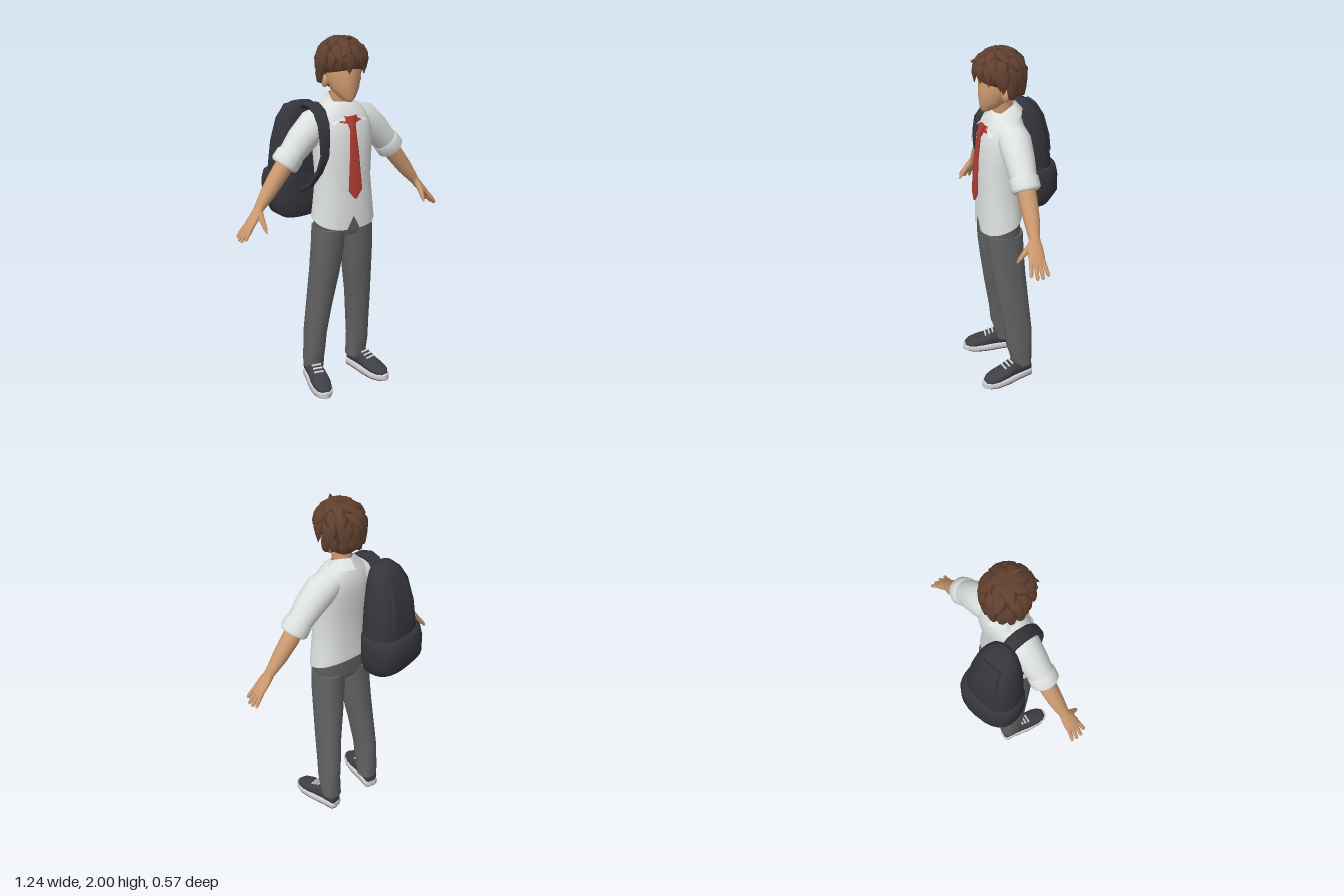
import * as THREE from 'three';

const V = (x, y, z) => new THREE.Vector3(x, y, z);
const X = V(1, 0, 0), Y = V(0, 1, 0), Z = V(0, 0, 1);
const mat = (name, color, extra = {}) => Object.assign(new THREE.MeshStandardMaterial({ color, ...extra }), { name });

// Grid of points to a smooth surface, optionally closed around and capped
function surface(rows, closed, caps) {
  const n = rows[0].length, pos = [], idx = [];
  rows.forEach(r => r.forEach(p => pos.push(p.x, p.y, p.z)));
  for (let j = 0; j < rows.length - 1; j++) {
    for (let i = 0; i < (closed ? n : n - 1); i++) {
      const a = j * n + i, b = j * n + (i + 1) % n;
      idx.push(a, b, a + n, b, b + n, a + n);
    }
  }
  if (caps) [rows[0], rows[rows.length - 1]].forEach((r, end) => {
    const base = pos.length / 3, c = V(0, 0, 0);
    r.forEach(p => { pos.push(p.x, p.y, p.z); c.addScaledVector(p, 1 / n); });
    pos.push(c.x, c.y, c.z);
    for (let i = 0; i < n; i++) {
      const a = base + i, b = base + (i + 1) % n;
      if (end) idx.push(base + n, a, b); else idx.push(base + n, b, a);
    }
  });
  const g = new THREE.BufferGeometry();
  g.setAttribute('position', new THREE.Float32BufferAttribute(pos, 3));
  g.setIndex(idx);
  g.computeVertexNormals();
  return g;
}

// Rows are [x, y, z, radius along ref, radius across]; t fixes the ring direction
function loft(rows, { ref = Z, t = null, n = 14, pow = 2, caps = true, shape = null } = {}) {
  const c = rows.map(r => V(r[0], r[1], r[2]));
  const e = v => Math.sign(v) * Math.abs(v) ** (2 / pow);
  return surface(rows.map((r, j) => {
    const d = t ? t.clone() : c[Math.min(j + 1, c.length - 1)].clone().sub(c[Math.max(j - 1, 0)]);
    d.normalize();
    const u = ref.clone().addScaledVector(d, -ref.dot(d)).normalize(), v = d.clone().cross(u);
    return Array.from({ length: n }, (_, i) => {
      const a = i / n * Math.PI * 2;
      const p = c[j].clone().addScaledVector(u, r[3] * e(Math.cos(a))).addScaledVector(v, r[4] * e(Math.sin(a)));
      if (shape) shape(p, j, i, a);
      return p;
    });
  }), true, caps);
}

export function createModel() {
  const root = new THREE.Group();
  const both = { side: THREE.DoubleSide };
  const skin = mat('skin', 0xcd9a70), hairMat = mat('brown hair', 0x61402f);
  const shirt = mat('white shirt', 0xdde1df, both), red = mat('red tie', 0xb23c32, both);
  const grey = mat('grey trousers', 0x626262), dark = mat('dark bag', 0x35353c);
  const shoeMat = mat('dark shoe', 0x3f3f46), white = mat('white sole', 0xcfcfcf);
  const add = (name, g, m, parent = root) => {
    const mesh = new THREE.Mesh(g, m);
    mesh.name = name;
    parent.add(mesh);
    return mesh;
  };
  const up = { t: Y };

  // Shirt body with a curved hem and a small notch in front
  add('shirtBody', loft([
    [0, 1.0, .108, .118, .182], [0, 1.1, .107, .118, .172], [0, 1.25, .107, .11, .157],
    [0, 1.4, .1, .12, .165], [0, 1.5, .088, .118, .172], [0, 1.56, .08, .11, .166],
    [0, 1.61, .075, .095, .138], [0, 1.645, .07, .075, .095], [0, 1.66, .07, .06, .06]],
  { ...up, n: 36, pow: 2.3, caps: false, shape: (p, j, i, a) => {
    if (j === 0) p.y = i === 0 ? 1.05 : 1.02 - .045 * Math.cos(a);
  } }), shirt);

  // Collar: stand around the neck and two folded flaps
  const tilt = V(0, .86, .5);
  add('collarStand', loft([[0, 1.6, .065, .09, .08], [0, 1.655, .08, .08, .062]], { t: tilt, n: 20, caps: false }), shirt);
  for (const s of [1, -1]) {
    const inner = [V(0, 1.7, .005), V(s * .045, 1.7, .03), V(s * .06, 1.67, .09), V(s * .016, 1.595, .178)];
    const outer = [V(0, 1.65, -.035), V(s * .09, 1.645, .005), V(s * .12, 1.615, .1), V(s * .1, 1.553, .188)];
    add('collarFlap', surface(s > 0 ? [outer, inner] : [inner, outer], false), shirt);
    const bandTop = [V(0, 1.585, .192), V(s * .055, 1.6, .165)], bandLow = [V(0, 1.55, .2), V(s * .066, 1.565, .183)];
    add('tieBand', surface(s > 0 ? [bandLow, bandTop] : [bandTop, bandLow], false), red);
  }

  // Tie
  add('tieKnot', loft([[0, 1.592, .186, .03, .014], [0, 1.54, .206, .019, .014]], { ref: X, n: 8, pow: 3 }), red);
  add('tieBlade', loft([[0, 1.55, .207, .018, .008], [0, 1.4, .228, .028, .008],
    [0, 1.2, .24, .042, .008], [0, 1.155, .243, .006, .006]], { ref: X, n: 8, pow: 3 }), red);

  // Neck, head and ears
  add('neck', loft([[0, 1.57, .06, .055, .052], [0, 1.75, .088, .058, .052]], up), skin);
  add('head', loft([[0, 1.668, .168, .022, .016], [0, 1.69, .147, .053, .045], [0, 1.73, .122, .083, .076],
    [0, 1.78, .11, .096, .091], [0, 1.84, .102, .1, .098], [0, 1.9, .1, .085, .09], [0, 1.95, .1, .05, .05]],
  { ...up, n: 20, pow: 1.85 }), skin);

  // Hair: two rounded masses covered with swept tufts
  const hair = new THREE.Group();
  hair.name = 'hair';
  root.add(hair);
  for (const [y, z, a, b, c] of [[1.877, .085, .12, .104, .125], [1.81, .052, .102, .095, .088]]) {
    add('hairMass', new THREE.SphereGeometry(1, 24, 16).scale(a, b, c).translate(0, y, z), hairMat, hair);
  }
  const rad = Math.PI / 180;
  const tuft = (az, e0, e1, w, swirl = 12, flare = 1.15) => {
    const rows = [0, .35, .7, 1].map((f, k) => {
      const e = (e0 + (e1 - e0) * f) * rad, a = (az + swirl * f) * rad;
      const h = Math.cos(e < 0 ? e * .6 : e), q = [.95, 1.04, 1.08, flare][k];
      return [q * .118 * h * Math.sin(a), 1.88 + q * (e < 0 ? .16 : .1) * Math.sin(e), .09 + q * .122 * h * Math.cos(a),
        w * [.75, 1, .72, .04][k], [.016, .02, .014, .002][k]];
    });
    add('hairTuft', loft(rows, { ref: V(Math.cos(az * rad), 0, -Math.sin(az * rad)), n: 6 }), hairMat, hair);
  };
  for (let i = 0; i < 7; i++) tuft(i * 51 + 20, 82, 28 + (i % 2) * 10, .04, 22, 1.17);
  for (let i = 0; i < 11; i++) tuft(i * 33 + 12, 50, 4 - (i % 3) * 6, .038, i % 2 ? 16 : -4, 1.18);
  for (let i = 0; i < 11; i++) tuft(85 + i * 19, 20, -30 - (i % 2) * 8, .031, i % 2 ? 8 : -6, 1.12);
  for (let i = 0; i < 8; i++) tuft(100 + i * 23, -10, -58 + (i % 2) * 8, .028, 4, .98);
  for (const [a, e] of [[-78, -24], [-52, -17], [-30, -13], [-8, -20], [16, -14], [40, -16], [66, -24]]) tuft(a, 35, e, .034, a < 0 ? -5 : 7, 1.1);
  tuft(-12, 40, 16, .036, -18, 1.3);
  add('topTuft', loft([[.02, 1.95, .1, .035, .02], [.015, 1.98, .14, .022, .014], [0, 2, .17, .002, .002]], { ref: X, n: 6 }), hairMat, hair);

  for (const s of [1, -1]) {
    add('ear', new THREE.SphereGeometry(1, 12, 8).scale(.017, .034, .024).translate(s * .1, 1.772, .09), skin);

    // Sleeve with rolled cuff
    add('sleeve', loft([[s * .08, 1.572, .065, .08, .07], [s * .15, 1.54, .065, .088, .088],
      [s * .23, 1.468, .067, .08, .08], [s * .305, 1.385, .07, .068, .066]], { n: 18 }), shirt);
    add('rolledCuff', loft([[s * .29, 1.405, .07, .066, .066], [s * .297, 1.396, .07, .077, .076],
      [s * .332, 1.352, .07, .078, .077], [s * .34, 1.342, .07, .066, .066]], { n: 18 }), shirt);

    // Forearm, palm, fingers and thumb
    add('forearm', loft([[s * .3, 1.39, .07, .05, .05], [s * .36, 1.31, .07, .049, .049], [s * .43, 1.22, .075, .042, .042],
      [s * .495, 1.137, .083, .028, .026]]), skin);
    add('palm', loft([[s * .485, 1.15, .082, .028, .025], [s * .515, 1.11, .088, .04, .022],
      [s * .55, 1.068, .093, .045, .018], [s * .572, 1.04, .095, .038, .012]]), skin);
    for (let i = 0; i < 4; i++) {
      const k = i - 1.5, r = .0115, len = [.9, 1, 1, .8][i];
      add('finger', loft([[s * .553, 1.064, .094 + k * .021, r, r],
        [s * (.553 + .04 * len), 1.064 - .048 * len, .096 + k * .026, r, r],
        [s * (.553 + .06 * len), 1.064 - .078 * len, .097 + k * .03, .009, .008],
        [s * (.553 + .064 * len), 1.064 - .085 * len, .097 + k * .031, .003, .003]], { n: 8 }), skin);
    }
    add('thumb', loft([[s * .5, 1.13, .1, .018, .018], [s * .503, 1.09, .135, .016, .016],
      [s * .5, 1.055, .162, .012, .012], [s * .498, 1.03, .18, .004, .004]], { ref: X, n: 8 }), skin);

    // Trouser leg
    add('trouserLeg', loft([[s * .143, .085, .022, .058, .057], [s * .145, .17, .03, .067, .057], [s * .144, .22, .037, .076, .054],
      [s * .14, .32, .041, .081, .056], [s * .126, .5, .063, .088, .062], [s * .105, .7, .085, .095, .075],
      [s * .093, .85, .098, .099, .083], [s * .085, .97, .1, .1, .086]], { ...up, n: 16, pow: 2.4 }), grey);

    // Shoe, turned slightly outward
    const shoe = new THREE.Group();
    shoe.name = 'shoe';
    shoe.position.x = s * .147;
    shoe.rotation.y = s * .19;
    root.add(shoe);
    const outline = [[-.036, .022], [-.025, .042], [.05, .047], [.15, .058], [.22, .056], [.262, .04], [.28, .022], [.286, .006]];
    const layer = (y, h, k) => loft(outline.map(([z, w]) => [0, y, z * k, w * k, h]), { ref: X, t: Z, pow: 6, n: 16 });
    add('sole', layer(.022, .018, 1), white, shoe);
    add('outsole', layer(.004, .004, .96), shoeMat, shoe);
    const tops = [[-.031, .085, .026], [-.02, .11, .04], [.06, .128, .045], [.1, .122, .048], [.15, .098, .054],
      [.2, .083, .054], [.245, .07, .043], [.27, .052, .022]];
    add('shoeUpper', loft(tops.map(([z, y, w]) => [0, (y + .025) / 2, z, w, (y - .025) / 2]), { ref: X, t: Z, pow: 2.3, n: 16 }), shoeMat, shoe);
    for (const [z, y] of [[.1, .123], [.122, .113], [.145, .102]]) {
      const lace = add('lace', new THREE.BoxGeometry(.055, .008, .01), white, shoe);
      lace.position.set(0, y, z);
      lace.rotation.x = .42;
    }
  }
  add('trouserSeat', loft([[0, .93, .1, .09, .13], [0, .965, .1, .1, .168], [0, 1.09, .1, .1, .16]], { ...up, n: 24, pow: 2.4 }), grey);

  // Backpack on the right shoulder
  const bag = new THREE.Group();
  bag.name = 'backpack';
  bag.position.set(-.15, 0, 0);
  bag.rotation.y = .13;
  root.add(bag);
  add('bagBody', loft([[0, 1.03, -.12, .1, .14], [0, 1.26, -.125, .117, .156], [0, 1.42, -.117, .107, .142],
    [0, 1.55, -.102, .088, .118], [0, 1.61, -.085, .067, .092], [0, 1.64, -.068, .042, .062], [0, 1.647, -.06, .02, .035]],
  { ...up, n: 24, pow: 2.6 }), dark, bag);
  add('bagPocket', loft([[0, 1.0, -.1, .065, .11], [0, 1.025, -.122, .108, .148], [0, 1.1, -.145, .137, .178],
    [0, 1.2, -.145, .135, .182], [0, 1.25, -.138, .13, .174], [0, 1.262, -.132, .115, .158]], { ...up, n: 24, pow: 2.5 }), dark, bag);
  add('bagPanel', loft([[0, 1.33, -.217, .088, .02], [0, 1.42, -.21, .082, .021], [0, 1.54, -.181, .07, .02],
    [0, 1.61, -.142, .055, .018]], { ref: X, n: 12, pow: 5 }), dark, bag);
  add('shoulderStrap', loft([[-.15, 1.58, -.06, .036, .012], [-.15, 1.638, -.005, .038, .012], [-.15, 1.645, .05, .038, .012],
    [-.15, 1.62, .12, .037, .012], [-.152, 1.56, .167, .034, .012], [-.152, 1.48, .18, .03, .012], [-.152, 1.39, .178, .024, .012],
    [-.165, 1.3, .145, .018, .012], [-.178, 1.21, .07, .016, .012], [-.19, 1.15, -.04, .016, .012]], { ref: X, n: 10, pow: 4 }), dark);

  return root;
}
